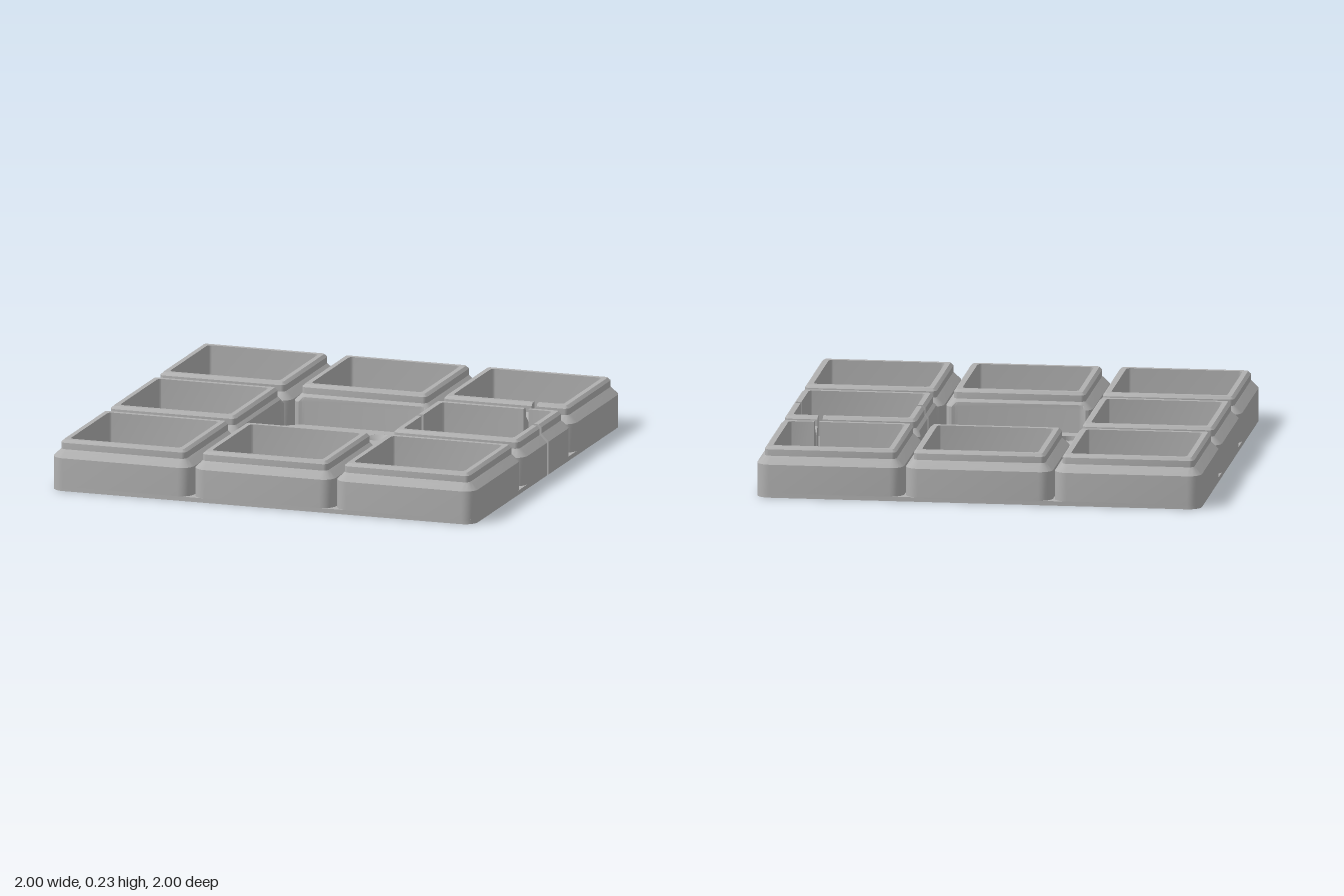
import * as THREE from 'three';
import { toCreasedNormals } from 'three/addons/utils/BufferGeometryUtils.js';

const PITCH = 0.6693, BASE = 0.02, PLATE = 0.045, W = 0.0115, SLOT_X = 0.805;

// Rounded square outline (x, -z), counter-clockwise. slots maps a side
// (0 right, 1 back, 2 left, 3 front) to the slot position along it.
function ring(h, r, slots = {}) {
  const pts = [];
  for (let k = 0; k < 4; k++) {
    const side = [];
    if (k in slots) side.push([h, slots[k] - W], [h, slots[k] + W]);
    for (let i = 0; i <= 6; i++) {
      const t = (i / 6) * Math.PI / 2;
      side.push([h - r + r * Math.cos(t), h - r + r * Math.sin(t)]);
    }
    const o = new THREE.Vector2();
    side.forEach(([x, y]) => pts.push(new THREE.Vector2(x, y).rotateAround(o, k * Math.PI / 2)));
  }
  return pts;
}

// Wall section: half width, corner radius, height; outside up, then inside down
const PROFILE = [
  [0.3307, 0.06, BASE], [0.3307, 0.06, 0.15], [0.3093, 0.0385, 0.1713], [0.2964, 0.0255, 0.184],
  [0.2964, 0.0255, 0.213], [0.2837, 0.0127, 0.2257], [0.261, 0.02, 0.2257], [0.261, 0.02, BASE],
];

// Distance of the central recess edge from the middle, at offset t along it
function recessEdge(t) {
  const d = Math.abs(t) - 0.26;
  if (d <= 0) return 0.36;
  return d < 0.1 ? 0.26 + Math.sqrt(0.01 - d * d) : 0;
}

function trayGeometry(cx, cy, slots) {
  const rings = PROFILE.map(([h, r, y]) => ring(h, r, slots).map((p) => {
    let X = p.x + cx * PITCH, Y = p.y + cy * PITCH;
    // trays beside the middle are trimmed by the recess
    if (cy === 0) X = cx * Math.max(cx * X, recessEdge(Y));
    if (cx === 0) Y = cy * Math.max(cy * Y, recessEdge(X));
    return [X, y, -Y];
  }));
  const n = rings[0].length, pos = [];
  const tri = (a, b, c) => pos.push(...a, ...b, ...c);
  // first point index of each slot
  const starts = [];
  for (let k = 0, i = 0; k < 4; k++) {
    if (k in slots) { starts.push(i); i += 2; }
    i += 7;
  }
  for (let j = 0; j < rings.length - 1; j++) {
    for (let i = 0; i < n; i++) {
      if (starts.includes(i)) continue;
      const m = (i + 1) % n, A = rings[j], B = rings[j + 1];
      tri(A[i], A[m], B[m]);
      tri(A[i], B[m], B[i]);
    }
  }
  // cut faces on both sides of each slot
  const section = PROFILE.map(([h, , y]) => new THREE.Vector2(h, y));
  const faces = THREE.ShapeUtils.triangulateShape(section, []);
  for (const s of starts) {
    for (const [a, b, c] of faces) {
      tri(rings[a][s], rings[c][s], rings[b][s]);
      tri(rings[a][s + 1], rings[b][s + 1], rings[c][s + 1]);
    }
  }
  const g = new THREE.BufferGeometry();
  g.setAttribute('position', new THREE.Float32BufferAttribute(pos, 3));
  return toCreasedNormals(g, 0.5);
}

// Flat slab with a notched outline and round holes [x, y, radius]
function slab(h, r, notch, holes, y0, y1) {
  const [first, ...rest] = ring(h, r, { 0: 0 });
  const shape = new THREE.Shape([first, ...notch.map(([x, y]) => new THREE.Vector2(x, y)), ...rest]);
  for (const [x, y, rad] of holes) {
    shape.holes.push(new THREE.Path().absarc(x, y, rad, 0, Math.PI * 2, true));
  }
  const g = new THREE.ExtrudeGeometry(shape, { depth: y1 - y0, bevelEnabled: false, curveSegments: 32 });
  g.rotateX(-Math.PI / 2).translate(0, y0, 0);
  return toCreasedNormals(g, 0.5);
}

export function createModel() {
  const group = new THREE.Group();
  const grey = new THREE.MeshStandardMaterial({ color: 0xb0b0b0, side: THREE.DoubleSide });
  grey.name = 'grey plastic';
  const add = (name, geometry) => {
    const mesh = new THREE.Mesh(geometry, grey);
    mesh.name = name;
    group.add(mesh);
    return mesh;
  };

  // Hole pattern: bore, four large corner holes, eight screw holes
  const big = [[0, 0, 0.137]], screws = [];
  for (const sx of [-1, 1]) {
    for (const sy of [-1, 1]) {
      big.push([sx * 0.24, sy * 0.24, 0.053]);
      screws.push([sx * 0.24, sy * 0.12], [sx * 0.12, sy * 0.24]);
    }
  }

  // Base with the angled slot cut through to the right edge
  const S = SLOT_X, F = 0.03;
  const slotPath = [
    [S + W + 0.006, -W], [S, -F], [S - W - 0.006, -W], [0.35, -W], [0.35, W],
    [S - F, W], [S - W, F], [S - W, 0.48], [S + W, 0.48], [S + W, F], [S + F, W],
  ];
  add('base', slab(1, 0.06, slotPath, [...big, ...screws.map(([x, y]) => [x, y, 0.03])], 0, BASE));

  // Raised mounting plate in the middle
  add('mountingPlate', slab(0.36, 0.1, [[0.35, -W], [0.35, W]],
    [...big, ...screws.map(([x, y]) => [x, y, 0.058])], BASE, PLATE));
  const cone = new THREE.LatheGeometry(
    [new THREE.Vector2(0.058, PLATE), new THREE.Vector2(0.03, BASE)], 32);
  for (const [x, y] of screws) add('countersink', cone).position.set(x, 0, -y);

  // Eight open trays around the middle, two of them slotted
  const off = SLOT_X - PITCH;
  for (let cx = -1; cx <= 1; cx++) {
    for (let cy = -1; cy <= 1; cy++) {
      if (cx === 0 && cy === 0) continue;
      let slots = {};
      if (cx === 1 && cy === 0) slots = { 0: 0, 1: -off, 2: 0 };
      if (cx === 1 && cy === 1) slots = { 3: off };
      add('tray', trayGeometry(cx, cy, slots));
    }
  }
  return group;
}
